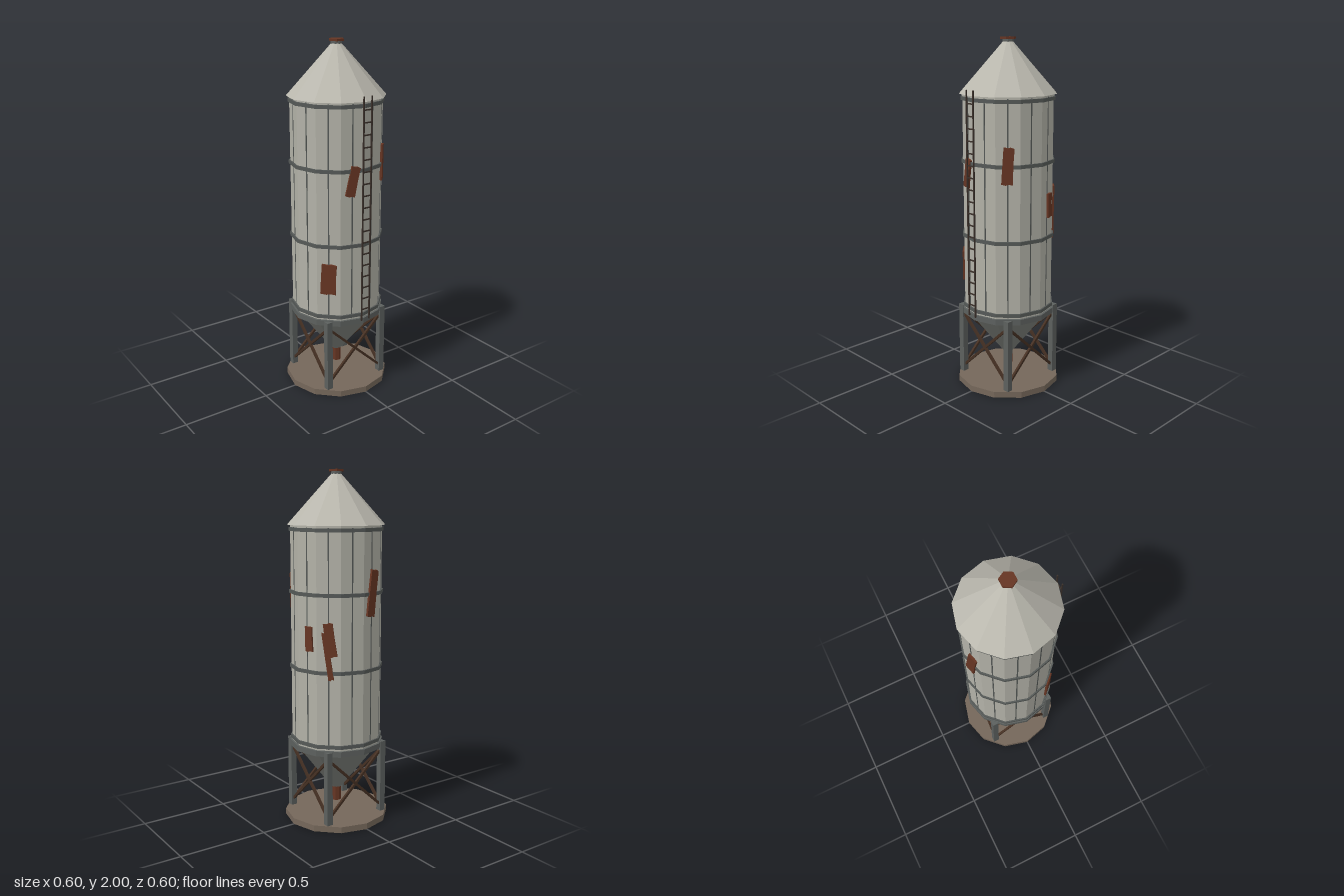
import * as THREE from 'three';

const mat = (color) => new THREE.MeshStandardMaterial({ color, flatShading: true, side: THREE.DoubleSide });
const SIDES = 12;

export function createModel() {
  const silo = new THREE.Group();
  silo.name = 'silo';
  const shell = mat(0xb2b1a7), roofMat = mat(0xbab8ae), steel = mat(0x5c605e), band = mat(0x555957);
  const hopperMat = mat(0x7b7e78), rust = mat(0x663523), darkRust = mat(0x453023);
  const concrete = mat(0x75675a), ladderMat = mat(0x3a302a);

  const add = (name, geometry, material, x = 0, y = 0, z = 0, parent = silo) => {
    const mesh = new THREE.Mesh(geometry, material);
    mesh.name = name;
    mesh.position.set(x, y, z);
    parent.add(mesh);
    return mesh;
  };
  // Upright drum between two heights
  const drum = (name, rTop, rBottom, y0, y1, material, sides = SIDES) =>
    add(name, new THREE.CylinderGeometry(rTop, rBottom, y1 - y0, sides), material, 0, (y0 + y1) / 2, 0);

  // Main stack
  drum('basePad', 0.3, 0.3, 0, 0.035, concrete);
  drum('outletPipe', 0.027, 0.027, 0.085, 0.18, rust, 8);
  drum('hopper', 0.243, 0.032, 0.17, 0.44, hopperMat);
  drum('skirtRing', 0.27, 0.27, 0.433, 0.465, steel);
  drum('tank', 0.257, 0.257, 0.46, 1.705, shell);
  drum('roof', 0.028, 0.275, 1.7, 1.975, roofMat);
  drum('ventNeck', 0.03, 0.03, 1.96, 1.99, steel, 8);
  drum('ventCap', 0.044, 0.044, 1.988, 2, rust, 6);

  // Hoop bands
  for (const y of [0.487, 0.907, 1.332, 1.677]) drum('hoopBand', 0.266, 0.266, y - 0.01, y + 0.01, band);

  // Vertical seams, one in the middle of each panel
  for (let i = 0; i < SIDES; i++) {
    const a = ((i + 0.5) / SIDES) * Math.PI * 2;
    const seam = add('panelSeam', new THREE.BoxGeometry(0.007, 1.22, 0.006), band,
      Math.sin(a) * 0.247, 1.08, Math.cos(a) * 0.247);
    seam.rotation.y = a;
  }

  // Legs and crossed braces, one side per quarter turn
  const reach = 0.1875, rise = 0.35;
  for (let i = 0; i < 4; i++) {
    const side = new THREE.Group();
    side.name = 'legFrame';
    side.rotation.y = (i * Math.PI) / 2;
    silo.add(side);
    add('leg', new THREE.BoxGeometry(0.035, 0.425, 0.035), steel, reach, 0.2475, reach, side);
    for (const s of [-1, 1]) {
      const brace = add('brace', new THREE.BoxGeometry(Math.hypot(2 * reach, rise), 0.014, 0.014), darkRust,
        0, 0.24, reach, side);
      brace.rotation.z = s * Math.atan2(rise, 2 * reach);
    }
  }

  // Ladder on the left flank
  const ladder = new THREE.Group();
  ladder.name = 'ladder';
  silo.add(ladder);
  for (const z of [-0.026, 0.026])
    add('ladderRail', new THREE.BoxGeometry(0.007, 1.27, 0.007), ladderMat, 0.284, 1.097, z, ladder);
  for (let i = 0; i < 18; i++)
    add('ladderRung', new THREE.BoxGeometry(0.006, 0.007, 0.052), ladderMat, 0.284, 0.53 + i * 0.0665, 0, ladder);

  // Rust patches with ragged ends: [angle, height, width, length, tilt]
  const patches = [
    [45, 0.715, 0.088, 0.18, -0.03],
    [75, 1.275, 0.054, 0.17, -0.2],
    [135, 1.335, 0.062, 0.205, -0.05],
    [-75, 1.335, 0.062, 0.26, -0.14],
    [-161, 1.09, 0.048, 0.14, 0.04],
    [-133, 1.09, 0.055, 0.19, 0.15],
    [-136, 1.0, 0.03, 0.27, 0.15],
  ];
  const outline = [[-0.5, -0.48], [-0.1, -0.5], [0.2, -0.47], [0.5, -0.49],
    [0.47, 0.1], [0.5, 0.47], [0.15, 0.5], [-0.05, 0.48], [-0.45, 0.5], [-0.48, 0]];
  for (const [deg, y, w, h, tilt] of patches) {
    const shape = new THREE.Shape(outline.map(([u, v]) => new THREE.Vector2(u * w, v * h)));
    const geometry = new THREE.ExtrudeGeometry(shape, { depth: 0.012, bevelEnabled: false });
    const a = THREE.MathUtils.degToRad(deg);
    const patch = add('rustPatch', geometry, rust, Math.sin(a) * 0.249, y, Math.cos(a) * 0.249);
    patch.rotation.set(0, a, tilt, 'YXZ');
  }
  return silo;
}
